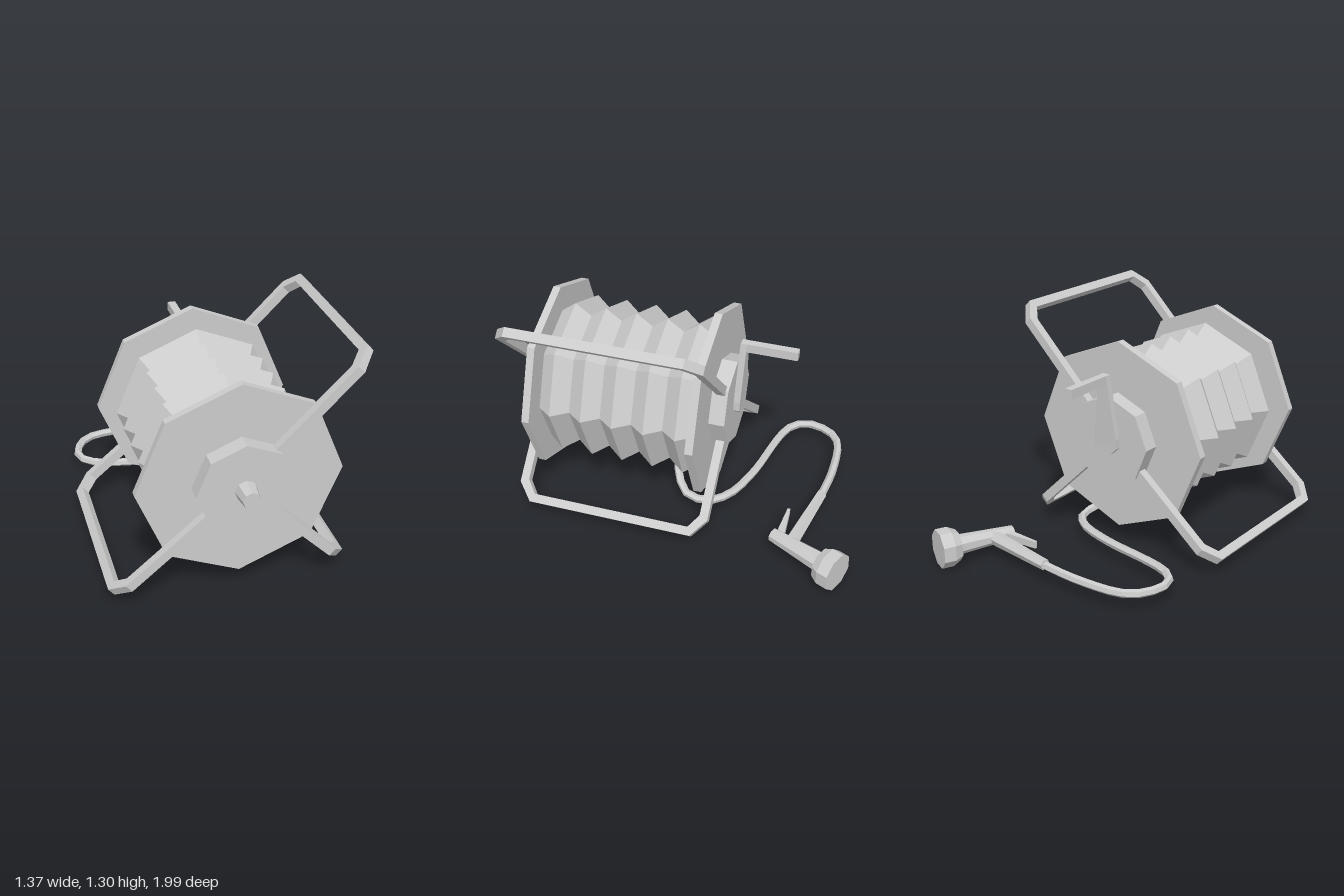
import * as THREE from 'three';

const CX = -0.006, CY = 0.65; // reel axis
const mat = new THREE.MeshStandardMaterial({ color: 0xcccccc, flatShading: true, side: THREE.DoubleSide });

function add(parent, name, geometry) {
  const mesh = new THREE.Mesh(geometry, mat);
  mesh.name = name;
  parent.add(mesh);
  return mesh;
}

// Octagonal disc on the reel axis, from z0 to z1
function disc(parent, name, z0, z1, r0, r1 = r0) {
  const g = new THREE.CylinderGeometry(r1, r0, z1 - z0, 8);
  g.rotateX(Math.PI / 2).translate(CX, CY, (z0 + z1) / 2);
  return add(parent, name, g);
}

// Faceted rod between two points
function rod(parent, name, a, b, rA, rB, sides = 8) {
  const from = new THREE.Vector3(...a), to = new THREE.Vector3(...b);
  const dir = to.clone().sub(from);
  const g = new THREE.CylinderGeometry(rB, rA, dir.length(), sides);
  g.applyQuaternion(new THREE.Quaternion().setFromUnitVectors(new THREE.Vector3(0, 1, 0), dir.normalize()));
  g.translate(...from.add(to).multiplyScalar(0.5).toArray());
  return add(parent, name, g);
}

function polygon(points) {
  return new THREE.Shape(points.map(([x, y]) => new THREE.Vector2(x, y)));
}

// U-shaped bar standing out radially from both hubs
function frameLoop(parent, name, angle, R) {
  const z0 = -0.22, z1 = 0.875, mid = (z0 + z1) / 2, t = 0.047;
  const half = [
    [0.2, z0], [R - 0.1, z0], [R, z0 + 0.08],
  ];
  const inner = [
    [R - t, z0 + 0.1], [R - 0.12, z0 + t], [0.2, z0 + t],
  ];
  const mirror = (list) => list.map(([r, z]) => [r, 2 * mid - z]).reverse();
  const shape = polygon([...half, ...mirror(half), ...mirror(inner), ...inner]);
  const g = new THREE.ExtrudeGeometry(shape, { depth: 0.05, bevelEnabled: false });
  g.translate(0, 0, -0.025);
  const radial = new THREE.Vector3(Math.cos(angle), Math.sin(angle), 0);
  const axis = new THREE.Vector3(0, 0, 1);
  g.applyMatrix4(new THREE.Matrix4().makeBasis(radial, axis, radial.clone().cross(axis)));
  g.translate(CX, CY, 0);
  return add(parent, name, g);
}

export function createModel() {
  const model = new THREE.Group();
  model.name = 'hoseReel';

  // Reel: flanges, hubs and axle
  const reel = new THREE.Group();
  reel.name = 'reel';
  model.add(reel);
  disc(reel, 'frontFlange', 0.768, 0.81, 0.535);
  disc(reel, 'backFlange', -0.147, -0.103, 0.535);
  disc(reel, 'frontHub', 0.81, 0.9, 0.252);
  disc(reel, 'backHub', -0.235, -0.147, 0.252);
  disc(reel, 'axleStub', 0.9, 0.995, 0.058, 0.046);

  // Wound hose: ridged octagonal drum
  const profile = [];
  const ridges = 5, zStart = -0.11, pitch = 0.885 / ridges;
  for (let i = 0; i <= ridges * 2; i++) {
    profile.push(new THREE.Vector2(i % 2 ? 0.45 : 0.385, zStart + (i * pitch) / 2));
  }
  const drum = new THREE.LatheGeometry(profile, 8);
  drum.rotateX(Math.PI / 2).translate(CX, CY, 0);
  add(reel, 'woundHose', drum);

  // Carrying handle and two feet
  const deg = Math.PI / 180;
  const frame = new THREE.Group();
  frame.name = 'frame';
  model.add(frame);
  frameLoop(frame, 'carryHandle', 45 * deg, 0.905);
  frameLoop(frame, 'leftFoot', -44.5 * deg, 0.78);
  frameLoop(frame, 'rightFoot', -140 * deg, 0.868);

  // Crank: tapered arm, leaning slightly back, with a square grip
  const crank = new THREE.Group();
  crank.name = 'crank';
  model.add(crank);
  const arm = polygon([
    [-0.03, -0.062], [0.03, -0.062], [0.07, -0.025], [0.07, 0.03],
    [0.023, 0.385], [-0.023, 0.385], [-0.07, 0.03], [-0.07, -0.025],
  ]);
  const armGeo = new THREE.ExtrudeGeometry(arm, { depth: 0.035, bevelEnabled: false });
  const p = armGeo.attributes.position;
  for (let i = 0; i < p.count; i++) p.setZ(i, p.getZ(i) - Math.max(0, p.getY(i)) * 0.05);
  armGeo.translate(CX - 0.004, CY, -0.268);
  add(crank, 'crankArm', armGeo);
  const grip = new THREE.BoxGeometry(0.044, 0.05, 0.3);
  add(crank, 'crankGrip', grip).position.set(CX - 0.004, 1.01, -0.412);

  // Loose hose leaving the drum and curling back to the nozzle
  const path = [
    [0.1, 0.27, 0.07], [0.16, 0.19, 0.05], [0.24, 0.125, -0.02], [0.25, 0.11, -0.15],
    [0.16, 0.11, -0.25], [-0.06, 0.11, -0.33], [-0.4, 0.11, -0.39], [-0.53, 0.11, -0.43],
    [-0.602, 0.11, -0.51], [-0.59, 0.11, -0.62], [-0.535, 0.11, -0.705],
    [-0.46, 0.11, -0.745], [-0.2, 0.11, -0.765], [0.04, 0.11, -0.745],
  ].map((v) => new THREE.Vector3(...v));
  add(model, 'looseHose', new THREE.TubeGeometry(new THREE.CatmullRomCurve3(path), 28, 0.023, 6));

  // Spray nozzle
  const nozzle = new THREE.Group();
  nozzle.name = 'nozzle';
  model.add(nozzle);
  const y = 0.113;
  const along = (d) => [0.413 + 0.413 * d, y, -0.566 - 0.91 * d];
  rod(nozzle, 'nozzleHandle', [0.015, y, -0.748], [0.45, y, -0.675], 0.03, 0.04, 6);
  rod(nozzle, 'nozzleBarrel', along(0), along(0.33), 0.038, 0.056);
  rod(nozzle, 'headTaper', along(0.32), along(0.365), 0.085, 0.108);
  rod(nozzle, 'sprayHead', along(0.365), along(0.43), 0.108, 0.108);

  // Trigger: flat lever tapering to its free end
  const lever = polygon([[0.205, 0.598], [0.41, 0.585], [0.425, 0.63], [0.205, 0.613]]);
  const leverGeo = new THREE.ExtrudeGeometry(lever, { depth: 0.04, bevelEnabled: false });
  leverGeo.rotateX(-Math.PI / 2).translate(0, y - 0.02, 0);
  add(nozzle, 'trigger', leverGeo);

  return model;
}
